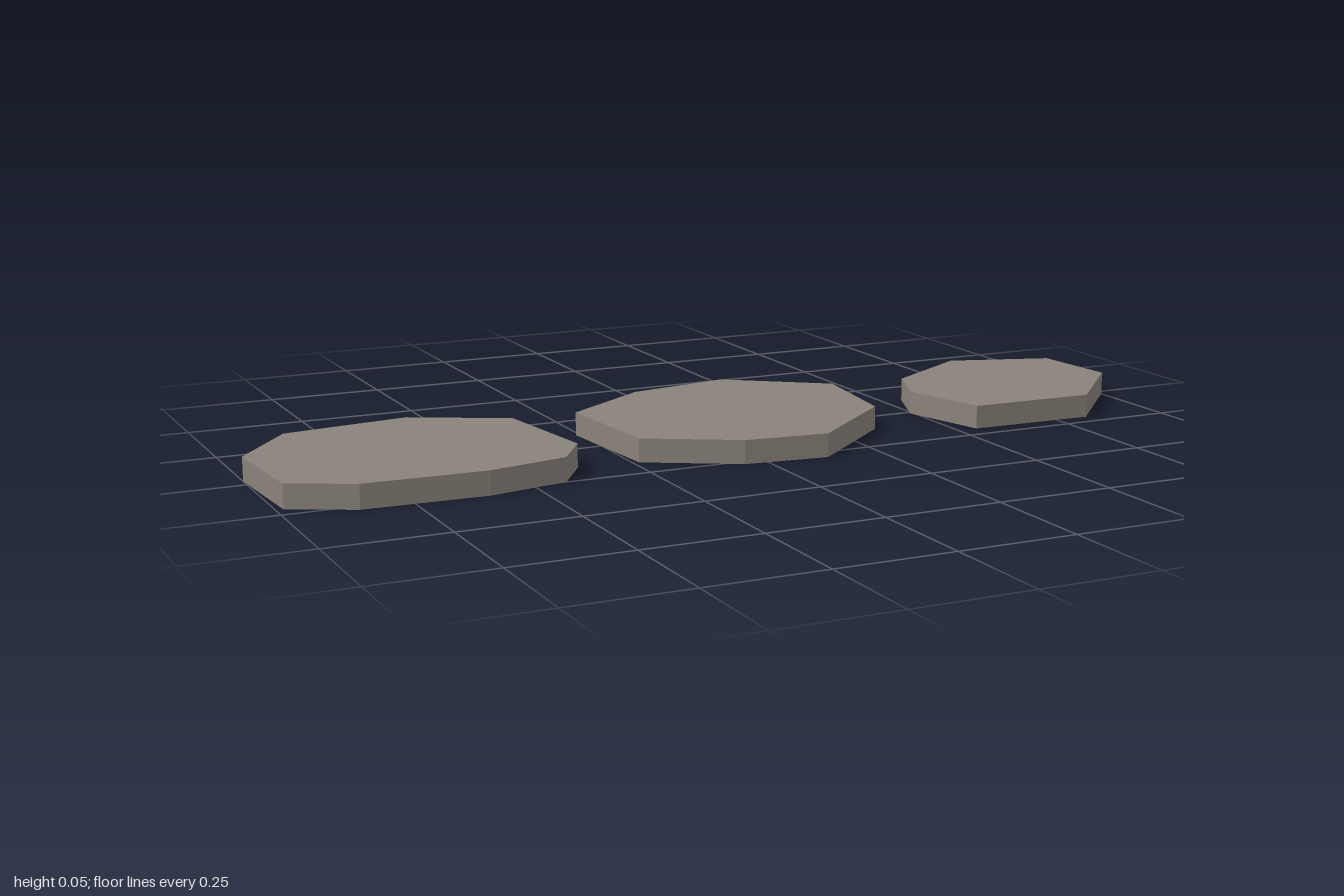
import * as THREE from 'three';

// Outlines of the flat stones seen from above, as [x, z] corners
const OUTLINES = {
  rightSteppingStone: [
    [-0.875, -0.19], [-0.6, -0.227], [-0.4, -0.12], [-0.366, 0.152], [-0.43, 0.249],
    [-0.6, 0.285], [-0.857, 0.277], [-0.985, 0.212], [-1, -0.03],
  ],
  middleSteppingStone: [
    [-0.26, -0.115], [-0.06, -0.252], [0.17, -0.292], [0.377, -0.14],
    [0.345, 0.11], [0.13, 0.292], [-0.05, 0.272], [-0.237, 0.165],
  ],
  leftSteppingStone: [
    [0.547, -0.12], [0.76, -0.252], [0.983, -0.178], [1, 0.023],
    [0.826, 0.209], [0.545, 0.202], [0.493, 0.01],
  ],
};
const THICKNESS = 0.05;

// Extrude an outline upward from the ground
function slab(outline) {
  const shape = new THREE.Shape(outline.map(([x, z]) => new THREE.Vector2(x, -z)));
  const geometry = new THREE.ExtrudeGeometry(shape, { depth: THICKNESS, bevelEnabled: false });
  return geometry.rotateX(-Math.PI / 2);
}

export function createModel() {
  const group = new THREE.Group();
  group.name = 'steppingStones';
  const stone = new THREE.MeshStandardMaterial({ color: 0x8a827a, flatShading: true });
  stone.name = 'warm grey stone';

  for (const [name, outline] of Object.entries(OUTLINES)) {
    const mesh = new THREE.Mesh(slab(outline), stone);
    mesh.name = name;
    group.add(mesh);
  }
  return group;
}
